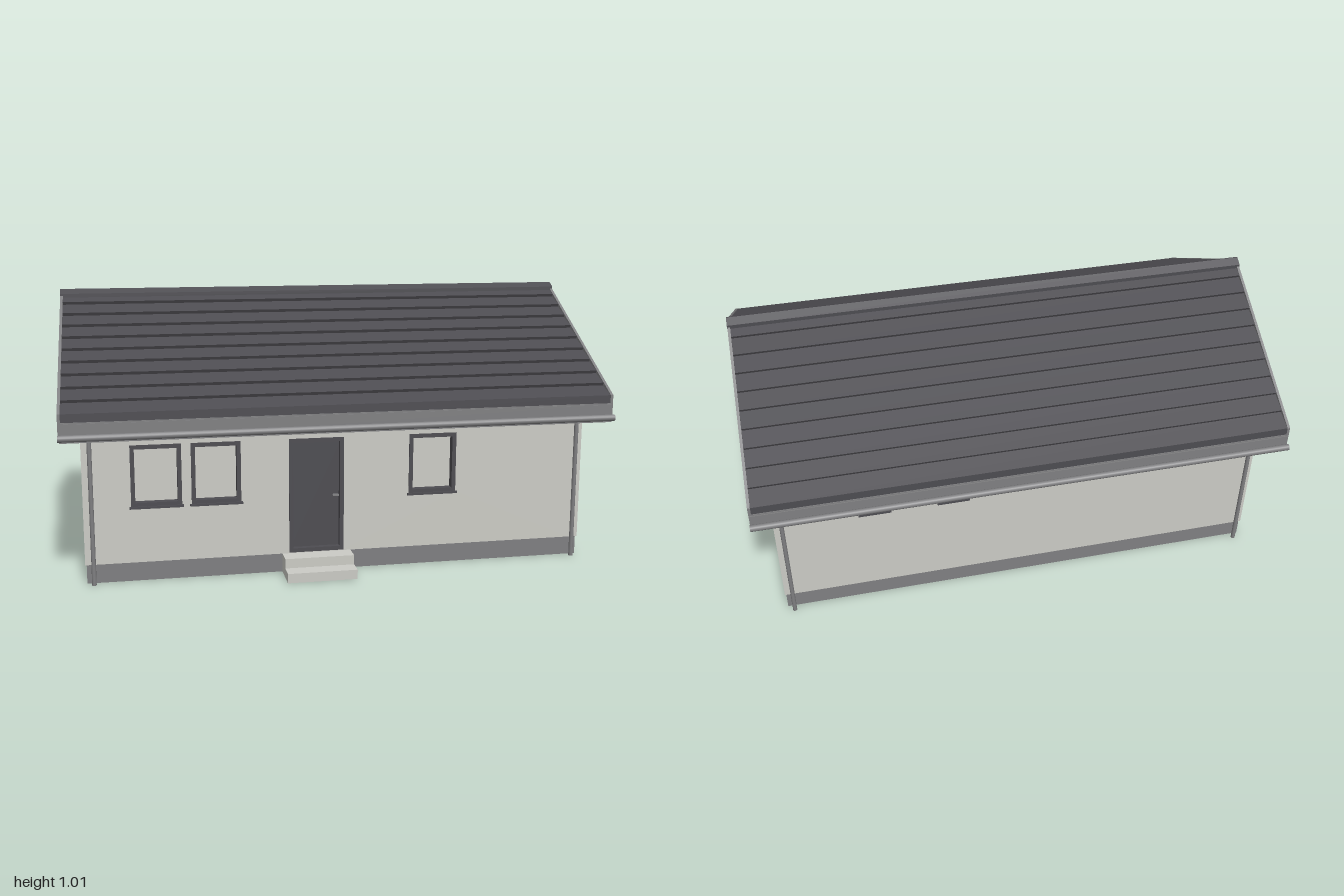
import * as THREE from 'three';

const mat = (name, color) => {
  const m = new THREE.MeshStandardMaterial({ color });
  m.name = name;
  return m;
};

export function createModel() {
  const house = new THREE.Group();
  house.name = 'house';
  const plaster = mat('plaster', 0xcbcbc5);
  const grey = mat('grey trim', 0x7f7f81);
  const dark = mat('dark slate', 0x4d4c51);

  const add = (parent, name, geo, material, x = 0, y = 0, z = 0) => {
    const mesh = new THREE.Mesh(geo, material);
    mesh.name = name;
    mesh.position.set(x, y, z);
    parent.add(mesh);
    return mesh;
  };
  const box = (parent, name, material, w, h, d, x, y, z) =>
    add(parent, name, new THREE.BoxGeometry(w, h, d), material, x, y, z);
  const polygon = pts => new THREE.Shape(pts.map(p => new THREE.Vector2(...p)));
  const extrude = (shape, depth) =>
    new THREE.ExtrudeGeometry(shape, { depth, bevelEnabled: false });
  const rect = (x0, x1, y0, y1) => polygon([[x0, y0], [x1, y0], [x1, y1], [x0, y1]]);

  // Main dimensions
  const HX = 0.93, HZ = 0.53, BASE = 0.07, T = 0.04;
  const RIDGE = 1.0, THICK = 0.08, EAVE = 0.635, SLOPE = 0.567;
  const under = z => RIDGE - THICK - SLOPE * z;

  // Plinth
  box(house, 'plinth', grey, 1.85, BASE, 1.05, 0, BASE / 2, 0);

  // Dark frame around an opening, in the wall's own frame (z points outward)
  const addFrame = (wall, name, x0, x1, y0, y1) => {
    const b = 0.015;
    const ring = rect(x0, x1, y0, y1);
    ring.holes.push(rect(x0 + b, x1 - b, y0 + b, y1 - b));
    add(wall, name, extrude(ring, 0.032), dark, 0, 0, -0.029);
  };
  const addWindow = (wall, [x0, x1, y0, y1]) => {
    const g = new THREE.Group();
    g.name = 'window';
    wall.add(g);
    addFrame(g, 'windowFrame', x0, x1, y0, y1);
    box(g, 'windowPane', plaster, x1 - x0, y1 - y0, 0.006, (x0 + x1) / 2, (y0 + y1) / 2, -0.028);
    box(g, 'windowSill', dark, x1 - x0 + 0.012, 0.008, 0.03, (x0 + x1) / 2, y0 - 0.002, -0.006);
  };

  // Wall with openings, outer face on local z = 0
  const addWall = (name, outline, angle, distance, windows, door) => {
    const wall = new THREE.Group();
    wall.name = name;
    const shape = polygon(outline);
    [...windows, ...(door ? [door] : [])].forEach(o => shape.holes.push(rect(...o)));
    add(wall, name + 'Panel', extrude(shape, T), plaster, 0, 0, -T);
    windows.forEach(w => addWindow(wall, w));
    wall.rotation.y = angle;
    wall.position.set(Math.sin(angle) * distance, 0, Math.cos(angle) * distance);
    house.add(wall);
    return wall;
  };

  const top = under(HZ), w = HX - T;
  const longWall = [[-w, BASE], [w, BASE], [w, top], [-w, top]];
  const gable = [[-HZ, BASE], [HZ, BASE], [HZ, top], [0, under(0)], [-HZ, top]];
  const door = [-0.195, 0.008, BASE + 0.003, 0.5];

  const front = addWall('frontWall', longWall, 0, HZ,
    [[-0.762, -0.582, 0.275, 0.5], [-0.548, -0.37, 0.275, 0.5], [0.254, 0.434, 0.275, 0.5]], door);
  addWall('backWall', longWall, Math.PI, HZ,
    [[-0.615, -0.505, 0.432, 0.5], [-0.32, -0.21, 0.432, 0.5]]);
  addWall('leftGable', gable, Math.PI / 2, HX, [[-0.172, 0.008, 0.275, 0.497]]);
  addWall('rightGable', gable, -Math.PI / 2, HX, [[-0.008, 0.172, 0.275, 0.497]]);

  // Door with frame and handle
  addFrame(front, 'doorFrame', ...door);
  box(front, 'doorLeaf', dark, 0.2, 0.424, 0.01, -0.0935, 0.286, -0.022);
  box(front, 'doorHandle', grey, 0.022, 0.006, 0.012, -0.02, 0.28, -0.011);

  // Entrance steps
  box(house, 'upperStep', plaster, 0.255, 0.035, 0.07, -0.093, 0.0525, 0.56);
  box(house, 'lowerStep', plaster, 0.255, 0.035, 0.13, -0.093, 0.0175, 0.59);

  // Shapes across the house lie in (z, y) and are extruded along x
  const across = (name, shape, material, x0, x1) => {
    const geo = extrude(shape, x1 - x0);
    geo.rotateY(-Math.PI / 2);
    geo.translate(x1, 0, 0);
    return add(house, name, geo, material);
  };
  const mirrored = half => [...half, ...half.filter(p => p[0] > 0).reverse().map(([z, y]) => [-z, y])];

  // Roof with stepped tile courses
  const ROWS = 10, LIFT = 0.012;
  const tiles = [[0, RIDGE - LIFT]];
  for (let i = 1; i <= ROWS; i++) {
    const z = EAVE * i / ROWS, y = RIDGE - SLOPE * z;
    tiles.push([z, y]);
    if (i < ROWS) tiles.push([z - LIFT * 0.45, y - LIFT * 0.9]);
  }
  const roofHalf = [...tiles, [EAVE, under(EAVE)]];
  const roofShape = polygon([...mirrored(roofHalf), [0, under(0)]].sort(() => 0));
  // The outline runs ridge, front eave, back eave, so the soffit apex goes between them
  const pts = [...roofHalf, [0, under(0)], ...roofHalf.slice(1).reverse().map(([z, y]) => [-z, y])];
  roofShape.curves = polygon(pts).curves;
  across('tiledRoof', roofShape, dark, -0.99, 0.99);

  // Verge boards closing the gable ends
  const chevron = (t0, t1, z) => polygon([
    [0, t1], [z, t1 - SLOPE * z], [z, t0 - SLOPE * z], [0, t0], [-z, t0 - SLOPE * z], [-z, t1 - SLOPE * z]]);
  for (const s of [-1, 1]) {
    const x = s * 0.994;
    across('vergeBoard', chevron(RIDGE - THICK, RIDGE + 0.001, EAVE + 0.001), grey, x - 0.005, x + 0.005);
  }

  // Ridge cap
  across('ridgeCap', chevron(RIDGE - 0.005, RIDGE + 0.009, 0.03), dark, -1, 1);

  // Fascias, gutters and downpipes on both eaves
  for (const s of [-1, 1]) {
    box(house, 'fascia', grey, 1.978, 0.055, 0.008, 0, 0.5825, s * 0.634);
    box(house, 'gutterApron', grey, 1.99, 0.065, 0.004, 0, 0.5725, s * 0.639);
    const gutter = new THREE.CylinderGeometry(0.012, 0.012, 2, 16);
    gutter.rotateZ(Math.PI / 2);
    add(house, 'gutter', gutter, grey, 0, 0.558, s * 0.649);
    for (const x of [-0.9, 0.9]) {
      add(house, 'downpipe', new THREE.CylinderGeometry(0.008, 0.008, 0.56, 12), grey, x, 0.28, s * 0.547);
    }
  }
  return house;
}
